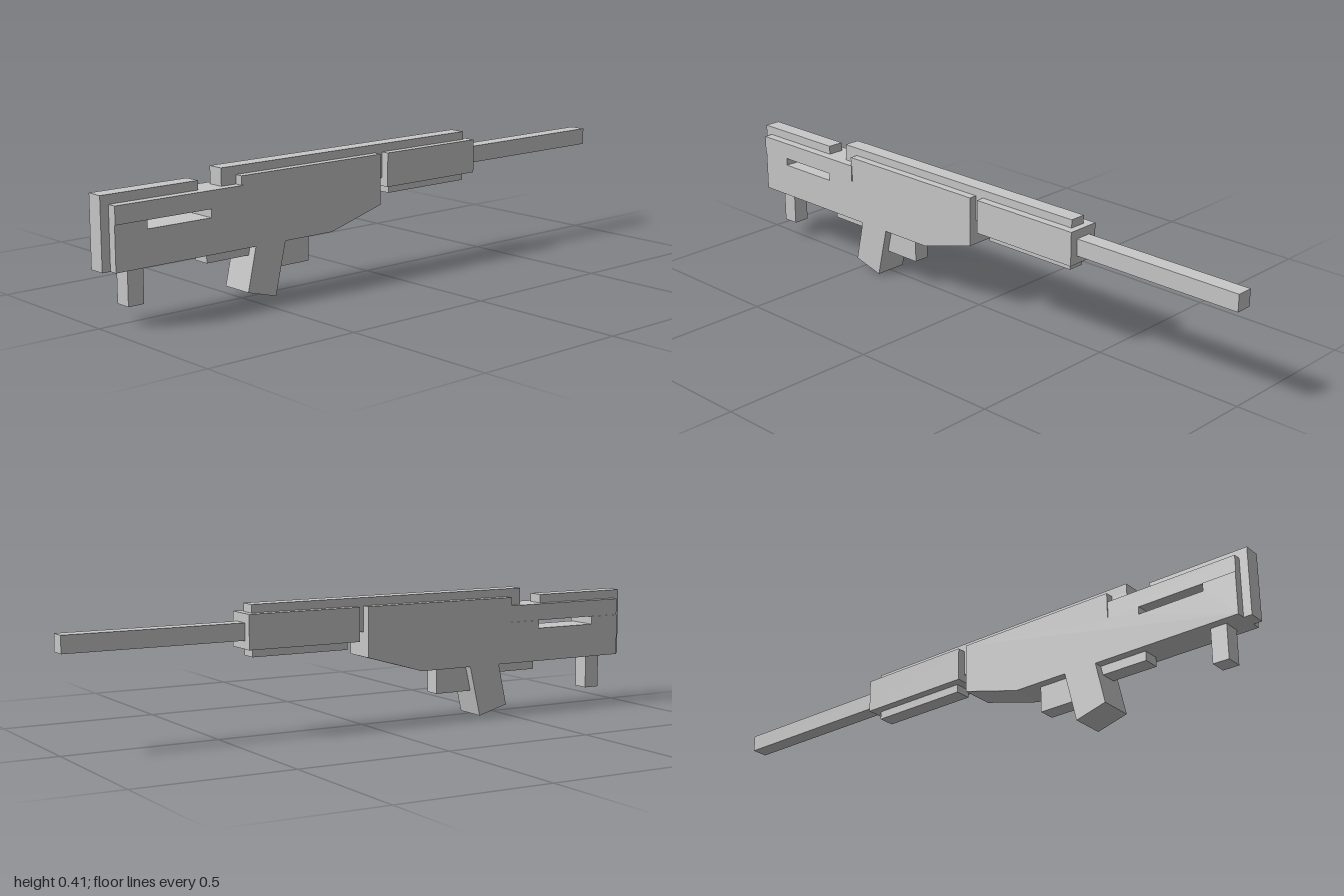
import * as THREE from 'three';

export function createModel() {
  const model = new THREE.Group();
  const grey = new THREE.MeshStandardMaterial({ color: 0xc8c8c8 });
  grey.name = 'plain grey';

  // x extents shared by the wide shell and the narrow core
  const WIDE = [-0.057, 0.052];
  const CORE = [-0.029, 0.025];

  function add(name, geometry) {
    const mesh = new THREE.Mesh(geometry, grey);
    mesh.name = name;
    model.add(mesh);
  }

  // Box from its extents on each axis
  function box(name, [x0, x1], [y0, y1], [z0, z1]) {
    const g = new THREE.BoxGeometry(x1 - x0, y1 - y0, z1 - z0);
    g.translate((x0 + x1) / 2, (y0 + y1) / 2, (z0 + z1) / 2);
    add(name, g);
  }

  // Side profile of [z, y] points extruded across x
  function slab(name, [x0, x1], points, hole) {
    const toVec = ([z, y]) => new THREE.Vector2(z, y);
    const shape = new THREE.Shape(points.map(toVec));
    if (hole) shape.holes.push(new THREE.Path(hole.map(toVec)));
    const g = new THREE.ExtrudeGeometry(shape, { depth: x1 - x0, bevelEnabled: false });
    g.rotateY(-Math.PI / 2);
    g.translate(x1, 0, 0);
    add(name, g);
  }

  // Receiver shell with the lower half of the stock; the notch forms the slot
  slab('receiver', WIDE, [
    [0.973, 0.163], [0.973, 0.298], [0.865, 0.298], [0.865, 0.272],
    [0.645, 0.272], [0.645, 0.298], [0.535, 0.298], [0.535, 0.38],
    [-0.01, 0.38], [-0.01, 0.22], [0.19, 0.163],
  ]);

  // Upper strip of the stock, set slightly to one side
  box('cheekRest', [-0.054, 0.055], [0.298, 0.352], [0.53, 0.973]);

  // Stock core with raised comb and through slot
  slab('stockCore', CORE, [
    [1, 0.163], [1, 0.38], [0.67, 0.38], [0.67, 0.352], [0.535, 0.352], [0.535, 0.163],
  ], [[0.865, 0.272], [0.865, 0.298], [0.645, 0.298], [0.645, 0.272]]);

  // Slanted grip
  slab('grip', WIDE, [[0.484, 0.17], [0.516, 0.028], [0.412, 0], [0.372, 0.17]]);

  // Top rail with its lowered end block
  box('topRail', CORE, [0.378, 0.406], [-0.4, 0.588]);
  box('railEnd', CORE, [0.35, 0.38], [0.53, 0.588]);

  // Handguard, its under rail, and the core joining it to the receiver
  box('handguard', WIDE, [0.272, 0.38], [-0.422, -0.04]);
  box('underRail', CORE, [0.246, 0.274], [-0.397, -0.068]);
  box('joiningCore', CORE, [0.298, 0.38], [-0.05, 0]);
  box('barrel', CORE, [0.298, 0.352], [-1, -0.41]);

  // Parts hanging below
  box('stockFoot', CORE, [0.052, 0.17], [0.865, 0.918]);
  box('rearBlock', CORE, [0.133, 0.17], [0.47, 0.645]);
  box('frontBlock', CORE, [0.08, 0.17], [0.262, 0.4]);

  return model;
}
